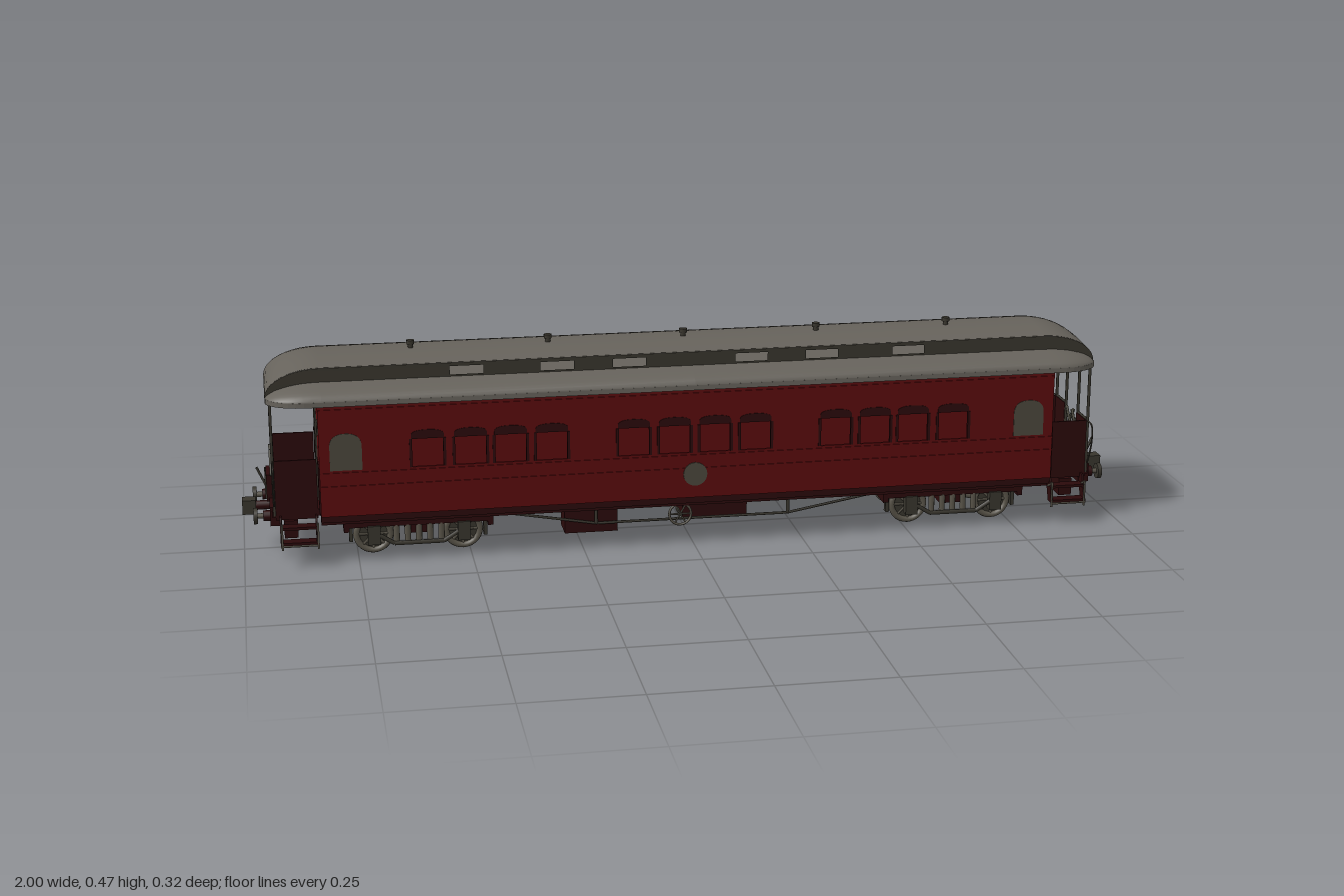
import * as THREE from 'three';

const mat = (name, color, side = THREE.FrontSide) => {
  const m = new THREE.MeshStandardMaterial({ color, side });
  m.name = name;
  return m;
};

export function createModel() {
  const root = new THREE.Group();
  root.name = 'railwayCarriage';
  const roofGrey = mat('roofGrey', 0x66625b);
  const red = mat('bodyRed', 0x5a0b0d);
  const darkRed = mat('underframeRed', 0x2a090a);
  const iron = mat('darkIron', 0x38352d, THREE.DoubleSide);
  const frosted = mat('frostedGlass', 0x4a473c, THREE.DoubleSide);
  const steel = mat('wheelSteel', 0x575247);

  const add = (name, geo, m, parent = root, x = 0, y = 0, z = 0) => {
    const mesh = new THREE.Mesh(geo, m);
    mesh.name = name;
    mesh.position.set(x, y, z);
    parent.add(mesh);
    return mesh;
  };
  // box given by its lower and upper limits
  const box = (name, m, x0, x1, y0, y1, z0, z1, parent = root) =>
    add(name, new THREE.BoxGeometry(x1 - x0, y1 - y0, Math.abs(z1 - z0)), m, parent,
      (x0 + x1) / 2, (y0 + y1) / 2, (z0 + z1) / 2);
  const rod = (name, m, a, b, r, parent = root, sides = 6) => {
    const p = new THREE.Vector3(...a), q = new THREE.Vector3(...b);
    const mesh = add(name, new THREE.CylinderGeometry(r, r, p.distanceTo(q), sides), m, parent);
    mesh.position.copy(p).add(q).multiplyScalar(0.5);
    mesh.quaternion.setFromUnitVectors(new THREE.Vector3(0, 1, 0), q.sub(p).normalize());
    return mesh;
  };
  const rect = (x0, x1, y0, y1, C = THREE.Shape) =>
    new C([[x0, y0], [x1, y0], [x1, y1], [x0, y1]].map(p => new THREE.Vector2(...p)));
  const arch = (x0, x1, y0, y1, rise) => {
    const s = new THREE.Shape();
    s.moveTo(x0, y0); s.lineTo(x1, y0); s.lineTo(x1, y1 - rise);
    s.quadraticCurveTo(x1, y1, (x0 + x1) / 2, y1);
    s.quadraticCurveTo(x0, y1, x0, y1 - rise);
    return s;
  };
  const extrude = (shape, depth) => new THREE.ExtrudeGeometry(shape, { depth, bevelEnabled: false, curveSegments: 8 });

  // Side walls with open windows
  const windowX = [-0.594, -0.5, -0.412, -0.321, -0.138, -0.046, 0.045, 0.137, 0.321, 0.412, 0.5, 0.594];
  const wall = rect(-0.83, 0.83, 0.115, 0.365);
  for (const x of windowX) wall.holes.push(rect(x - 0.036, x + 0.036, 0.22, 0.284, THREE.Path));
  for (const s of [1, -1]) {
    const side = new THREE.Group();
    side.name = s > 0 ? 'frontSide' : 'backSide';
    if (s < 0) side.rotation.y = Math.PI;
    root.add(side);
    add('sideWall', extrude(wall, 0.007), red, side, 0, 0, 0.149);
    for (const x of windowX) {
      add('windowFanlight', extrude(arch(x - 0.036, x + 0.036, 0.284, 0.304, 0.012), 0.002), darkRed, side, 0, 0, 0.1555);
      for (const e of [-1, 1]) box('windowStile', darkRed, x + e * 0.037 - 0.003, x + e * 0.037 + 0.003, 0.22, 0.284, 0.15, 0.158, side);
    }
    for (const e of [-1, 1])
      add('endWindow', extrude(arch(e * 0.772 - 0.035, e * 0.772 + 0.035, 0.22, 0.303, 0.03), 0.002), frosted, side, 0, 0, 0.1555);
    for (const [y, h] of [[0.213, 0.004], [0.183, 0.003], [0.355, 0.006]])
      box('beltRail', red, -0.83, 0.83, y - h / 2, y + h / 2, 0.155, 0.1585, side);
    const disc = add('roundPlate', new THREE.CylinderGeometry(0.027, 0.027, 0.003, 24), frosted, side, 0, 0.17, 0.1575);
    disc.rotation.x = Math.PI / 2;
    box('solebar', darkRed, -0.83, 0.83, 0.09, 0.117, 0.12, 0.135, side);
    // Truss rods and queen posts
    const truss = [[-0.47, 0.1], [-0.22, 0.056], [0.22, 0.056], [0.47, 0.1]];
    for (let i = 0; i < 3; i++)
      rod('trussRod', iron, [...truss[i], 0.122], [...truss[i + 1], 0.122], 0.003, side);
    for (const x of [-0.22, 0.22]) rod('queenPost', iron, [x, 0.055, 0.122], [x, 0.1, 0.122], 0.004, side);
    // Spoked hand wheel
    const wx = -0.03 * s;
    add('handWheelRim', new THREE.TorusGeometry(0.025, 0.003, 6, 20), steel, side, wx, 0.07, 0.132);
    for (let i = 0; i < 3; i++) {
      const a = i * Math.PI / 3, c = Math.cos(a) * 0.024, d = Math.sin(a) * 0.024;
      rod('handWheelSpoke', steel, [wx - c, 0.07 - d, 0.132], [wx + c, 0.07 + d, 0.132], 0.002, side);
    }
    rod('handWheelShaft', iron, [wx, 0.07, 0.09], [wx, 0.07, 0.136], 0.004, side);
  }

  // Floor and underframe
  box('floor', darkRed, -0.83, 0.83, 0.1, 0.118, -0.15, 0.15);
  box('centreBox', darkRed, -0.01, 0.14, 0.03, 0.1, -0.05, 0.05);
  box('frontEquipmentBox', darkRed, -0.29, -0.17, 0.033, 0.1, 0.05, 0.115);
  box('backEquipmentBox', darkRed, 0.17, 0.32, 0.033, 0.1, -0.115, -0.05);
  for (const z of [-0.035, 0.035]) box('centreSill', darkRed, -0.92, 0.92, 0.085, 0.1, z - 0.008, z + 0.008);

  // Roof: rounded ends and a raised middle
  const xs = [];
  for (let i = 0; i <= 10; i++) xs.push(0.82 + 0.12 * Math.sin(i / 10 * Math.PI / 2));
  const stations = [...xs.map(x => -x).reverse(), 0, ...xs];
  const endDrop = x => Math.sqrt(Math.max(0, 1 - Math.max(0, (Math.abs(x) - 0.82) / 0.12) ** 2));
  const halfWidth = x => 0.1 + 0.061 * Math.sqrt(Math.max(0, 1 - Math.max(0, (Math.abs(x) - 0.85) / 0.09) ** 2));
  const surface = (width, height, n = 24) => {
    const pos = [], idx = [];
    stations.forEach((x, i) => {
      for (let j = 0; j <= n; j++) {
        const z = width(x) * Math.sin((j / n - 0.5) * Math.PI);
        pos.push(x, height(x, z, width(x)), z);
        if (i && j) {
          const d = i * (n + 1) + j, c = d - 1, b = d - n - 1, a = b - 1;
          idx.push(a, b, c, b, d, c);
        }
      }
    });
    const g = new THREE.BufferGeometry();
    g.setAttribute('position', new THREE.Float32BufferAttribute(pos, 3));
    g.setIndex(idx);
    g.computeVertexNormals();
    return g;
  };
  add('lowerRoof', surface(halfWidth, (x, z, w) =>
    0.375 + endDrop(x) * 0.04 * Math.sqrt(Math.max(0, 1 - (Math.max(Math.abs(z), 0.1) / w) ** 2))), roofGrey);
  add('upperRoof', surface(() => 0.102, (x, z) =>
    0.375 + endDrop(x) * (0.062 + 0.013 * (1 - (z / 0.102) ** 2))), roofGrey);
  const plan = new THREE.Shape([
    ...stations.map(x => new THREE.Vector2(x, halfWidth(x))),
    ...stations.map(x => new THREE.Vector2(-x, -halfWidth(x)))]);
  add('eaves', extrude(plan, 0.011), roofGrey, root, 0, 0.376, 0).rotation.x = Math.PI / 2;
  const upperWall = new THREE.Shape([
    new THREE.Vector2(0.94, 0.375),
    ...stations.slice().reverse().map(x => new THREE.Vector2(x, 0.375 + 0.063 * endDrop(x)))]);
  for (const x of [-0.5, -0.3, -0.138, 0.138, 0.3, 0.5])
    upperWall.holes.push(rect(x - 0.037, x + 0.037, 0.41, 0.429, THREE.Path));
  for (const z of [-0.1, 0.1]) add('upperRoofSide', new THREE.ShapeGeometry(upperWall), iron, root, 0, 0, z);
  for (const x of [-0.615, -0.308, 0, 0.308, 0.615]) {
    rod('roofVent', iron, [x, 0.445, 0], [x, 0.46, 0], 0.006, root, 10);
    rod('ventCap', iron, [x, 0.458, 0], [x, 0.467, 0], 0.009, root, 10);
  }

  // End platforms, built facing +x and turned for the other end
  for (const turn of [0, Math.PI]) {
    const end = new THREE.Group();
    end.name = turn ? 'rightPlatform' : 'leftPlatform';
    end.rotation.y = turn;
    root.add(end);
    box('platformFloor', darkRed, 0.82, 0.935, 0.106, 0.12, -0.112, 0.112, end);
    box('bufferBeam', darkRed, 0.915, 0.94, 0.085, 0.128, -0.105, 0.105, end);
    box('lowerBeam', darkRed, 0.88, 0.91, 0.045, 0.085, -0.075, 0.075, end);
    box('doorHeader', red, 0.823, 0.83, 0.358, 0.366, -0.04, 0.04, end);
    box('gangwayBox', darkRed, 0.925, 0.945, 0.12, 0.182, -0.036, 0.036, end);
    for (let i = -3; i <= 3; i++) box('gangwayRib', iron, 0.945, 0.948, 0.125, 0.18, i * 0.01 - 0.0015, i * 0.01 + 0.0015, end);
    rod('couplerShank', darkRed, [0.93, 0.102, 0], [0.985, 0.102, 0], 0.011, end, 8);
    box('couplerHead', iron, 0.97, 1, 0.086, 0.118, -0.016, 0.016, end);
    // Lattice gate
    for (const c of [-0.019, 0.019]) for (const d of [-1, 1])
      for (const k of [0, 1]) rod('gateLattice', frosted,
        [0.932 + d * 0.002, 0.182, c - d * 0.019 + (k - 0.5) * 0.004], [0.932 + d * 0.002, 0.23, c + d * 0.019 + (k - 0.5) * 0.004], 0.003, end);
    for (const s of [-1, 1]) {
      box('endWall', red, 0.823, 0.83, 0.115, 0.365, s * 0.04, s * 0.156, end);
      box('doorPost', iron, 0.822, 0.834, 0.118, 0.365, s * 0.038, s * 0.043, end);
      box('endWallPanel', darkRed, 0.83, 0.833, 0.12, 0.235, s * 0.112, s * 0.152, end);
      box('endWindowPane', frosted, 0.829, 0.832, 0.295, 0.325, s * 0.105, s * 0.13, end);
      box('railingPanel', darkRed, 0.926, 0.932, 0.12, 0.235, s * 0.042, s * 0.11, end);
      box('sidePanel', darkRed, 0.835, 0.928, 0.1, 0.235, s * 0.107, s * 0.112, end);
      rod('railingCap', iron, [0.93, 0.236, s * 0.04], [0.93, 0.236, s * 0.112], 0.003, end);
      for (const z of [0.042, 0.11]) rod('platformPost', iron, [0.93, 0.11, s * z], [0.93, 0.367, s * z], 0.0035, end);
      // Curved handrail
      const curve = new THREE.CatmullRomCurve3([[0.12, 0.135], [0.135, 0.165], [0.145, 0.2], [0.14, 0.23], [0.112, 0.234]]
        .map(([z, y]) => new THREE.Vector3(0.93, y, s * z)));
      add('handrail', new THREE.TubeGeometry(curve, 16, 0.002, 5), iron, end);
      // Boarding steps
      for (const [y, z] of [[0.086, 0.128], [0.055, 0.14]])
        box('stepTread', darkRed, 0.84, 0.918, y - 0.003, y + 0.003, s * (z - 0.018), s * (z + 0.01), end);
      for (const x of [0.838, 0.916]) {
        const stringer = new THREE.Shape([[0.108, 0.11], [0.108, 0.085], [0.122, 0.05], [0.15, 0.05], [0.126, 0.11]]
          .map(([z, y]) => new THREE.Vector2(-s * z, y)));
        add('stepSide', extrude(stringer, 0.004), darkRed, end, x, 0, 0).rotation.y = Math.PI / 2;
        rod('stepRail', steel, [x, 0.042, s * 0.149], [x, 0.1, s * 0.149], 0.0025, end);
        rod('stepBracket', steel, [x, 0.1, s * 0.149], [x, 0.085, s * 0.12], 0.0025, end);
      }
      rod('stepEdge', steel, [0.838, 0.05, s * 0.149], [0.92, 0.05, s * 0.149], 0.0025, end);
      // Buffers
      rod('bufferStock', darkRed, [0.935, 0.102, s * 0.08], [0.955, 0.102, s * 0.08], 0.012, end, 14);
      rod('bufferRam', steel, [0.95, 0.102, s * 0.08], [0.97, 0.102, s * 0.08], 0.006, end, 12);
      rod('bufferHead', iron, [0.967, 0.102, s * 0.08], [0.976, 0.102, s * 0.08], 0.018, end, 18);
    }
    rod('brakeLever', iron, [0.94, 0.12, 0.05], [0.965, 0.175, 0.05], 0.003, end);
  }

  // Bogies: wheels, frames, springs
  for (const bx of [-0.615, 0.615]) {
    const bogie = new THREE.Group();
    bogie.name = bx > 0 ? 'leftBogie' : 'rightBogie';
    bogie.position.x = bx;
    root.add(bogie);
    box('bolster', darkRed, -0.03, 0.03, 0.05, 0.1, -0.1, 0.1, bogie);
    for (const x of [-0.16, 0.16]) box('frameEnd', darkRed, x - 0.006, x + 0.006, 0.06, 0.08, -0.105, 0.105, bogie);
    for (const s of [-1, 1]) {
      box('frameBeam', darkRed, -0.165, 0.165, 0.07, 0.086, s * 0.094, s * 0.106, bogie);
      const bar = [[-0.1, 0.058], [-0.055, 0.03], [0.055, 0.03], [0.1, 0.058]];
      for (let i = 0; i < 3; i++) rod('equalizerBar', iron, [...bar[i], s * 0.106], [...bar[i + 1], s * 0.106], 0.005, bogie);
      for (const x of [-0.05, -0.025, 0, 0.025, 0.05])
        rod('coilSpring', steel, [x, 0.034, s * 0.1], [x, 0.072, s * 0.1], 0.007, bogie, 8);
      for (const x of [-0.1, 0.1]) {
        box('axleBox', iron, x - 0.014, x + 0.014, 0.03, 0.073, s * 0.09, s * 0.112, bogie);
        add('wheelRim', new THREE.TorusGeometry(0.038, 0.007, 8, 28), steel, bogie, x, 0.045, s * 0.074);
        rod('wheelWeb', iron, [x, 0.045, s * 0.069], [x, 0.045, s * 0.073], 0.036, bogie, 24);
        rod('wheelHub', steel, [x, 0.045, s * 0.062], [x, 0.045, s * 0.086], 0.01, bogie, 12);
        for (let i = 0; i < 8; i++) {
          const a = i * Math.PI / 4;
          rod('wheelSpoke', steel, [x, 0.045, s * 0.075],
            [x + 0.036 * Math.cos(a), 0.045 + 0.036 * Math.sin(a), s * 0.075], 0.003, bogie, 5);
        }
        box('brakeShoe', iron, x + Math.sign(x) * 0.05 - 0.004, x + Math.sign(x) * 0.05 + 0.004, 0.03, 0.065, s * 0.066, s * 0.082, bogie);
      }
    }
    for (const x of [-0.1, 0.1]) rod('axle', iron, [x, 0.045, -0.1], [x, 0.045, 0.1], 0.006, bogie, 10);
  }
  return root;
}
